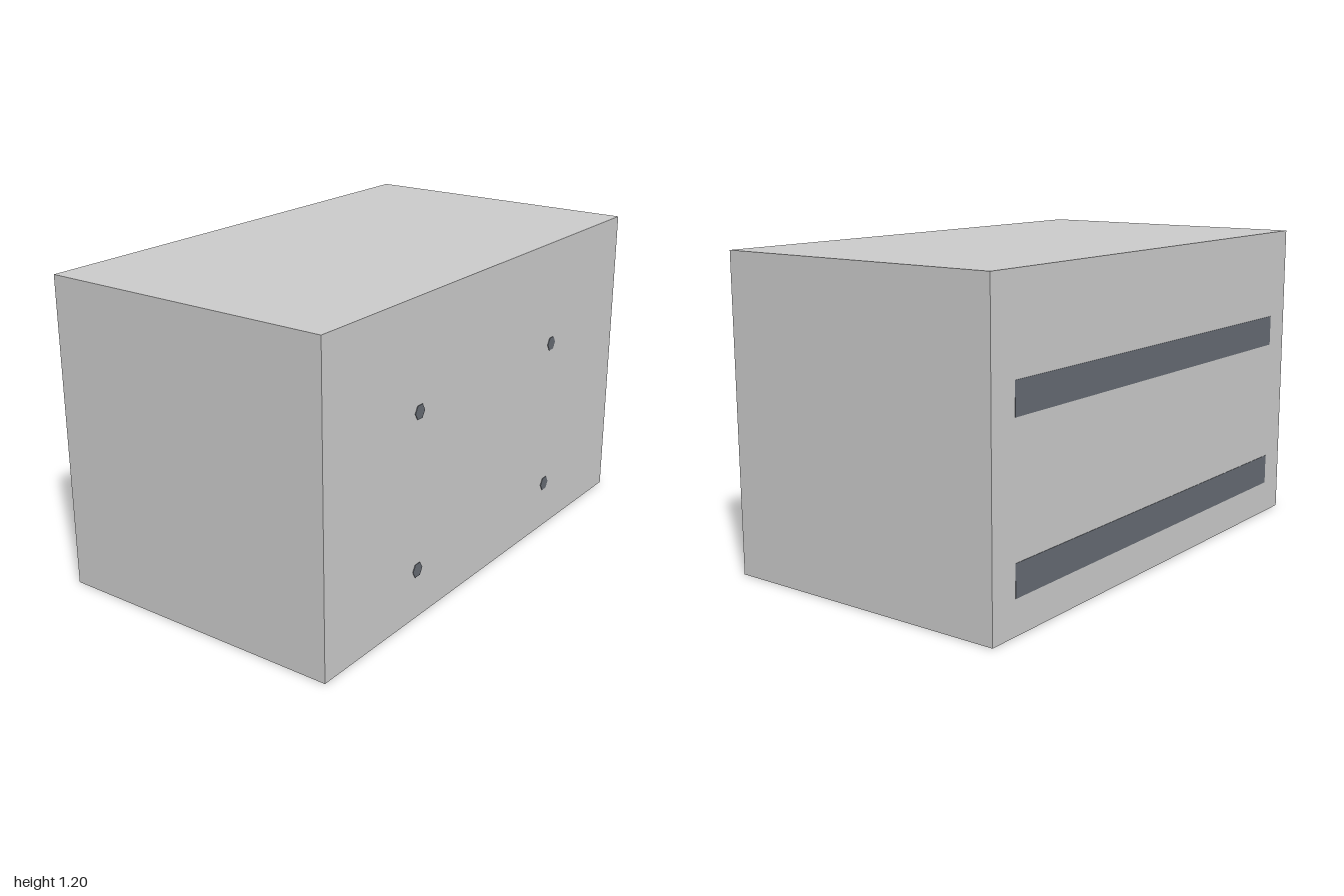
import * as THREE from 'three';

export function createModel() {
  const model = new THREE.Group();
  const grey = new THREE.MeshStandardMaterial({ color: 0xcccccc });
  const dark = new THREE.MeshStandardMaterial({ color: 0x666b73 });
  const depth = 1.172, half = depth / 2;

  const add = (name, geometry, material, x, y, z) => {
    const mesh = new THREE.Mesh(geometry, material);
    mesh.name = name;
    mesh.position.set(x, y, z);
    model.add(mesh);
  };

  // Cabinet body
  add('cabinet', new THREE.BoxGeometry(2, 1.2, depth), grey, 0, 0.6, 0);

  // Hexagonal bolt heads, one corner pointing sideways
  const bolt = new THREE.CylinderGeometry(0.029, 0.029, 0.03, 6).toNonIndexed();
  bolt.rotateY(Math.PI / 6).rotateX(Math.PI / 2);
  bolt.computeVertexNormals();

  // Mounting rail let into the back, almost flush
  const rail = new THREE.BoxGeometry(1.76, 0.12, 0.03);

  for (const [level, y] of [['lower', 0.19], ['upper', 0.79]]) {
    add(level + 'Rail', rail, dark, 0, y, -half + 0.0135);
    for (const side of [-1, 1]) {
      add(level + (side > 0 ? 'Left' : 'Right') + 'Bolt', bolt, dark, side * 0.463, y, half - 0.0125);
    }
  }
  return model;
}
